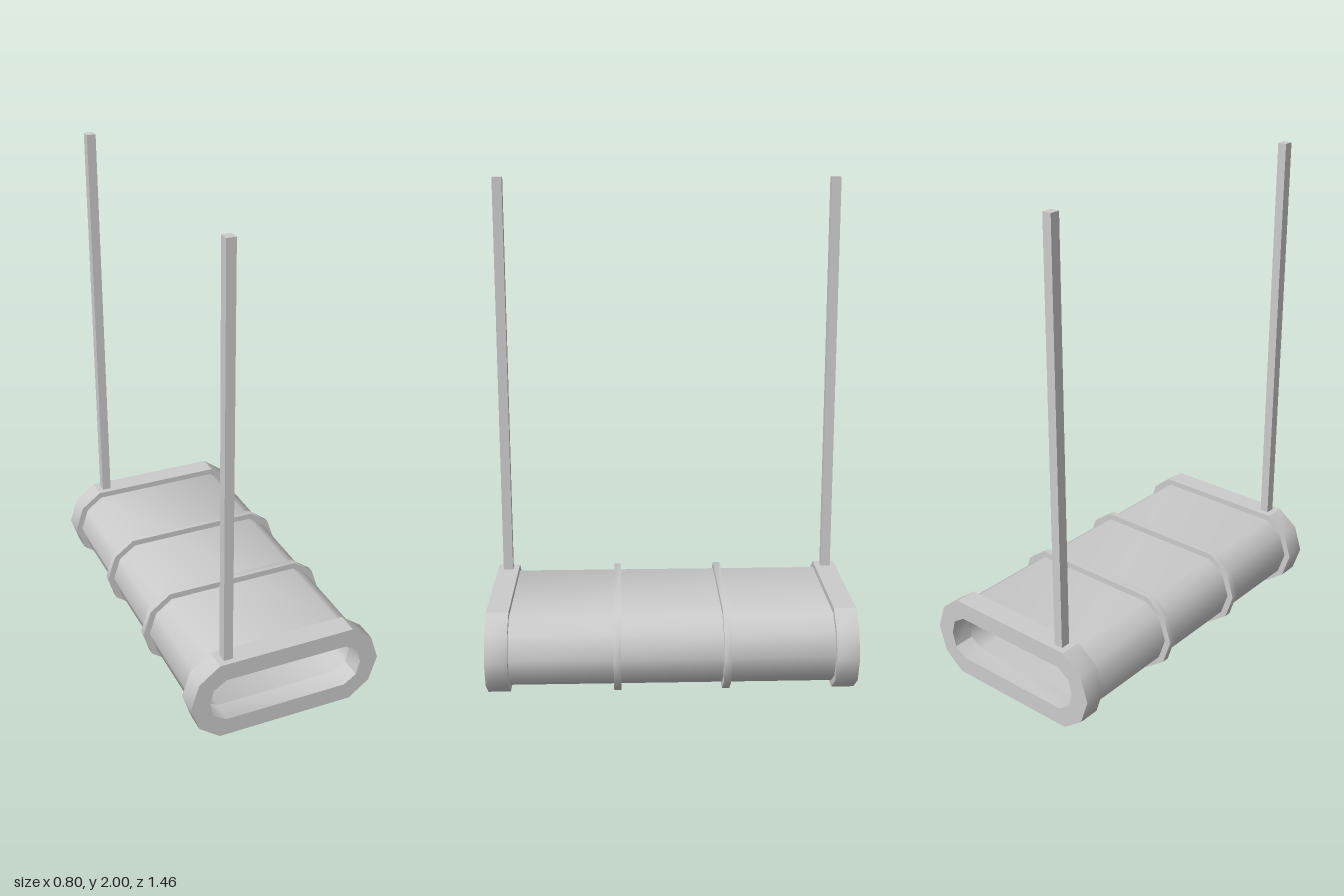
import * as THREE from 'three';
import { toCreasedNormals } from 'three/addons/utils/BufferGeometryUtils.js';

const MID_Y = 0.168;
const material = new THREE.MeshStandardMaterial({ color: 0xcccccc });

// Elongated ten-sided outlines: top corner, shoulder, side tip (one quarter each)
const OUTER = [[0.283, 0.168], [0.368, 0.104], [0.402, 0]];
const SHELL = [[0.275, 0.143], [0.345, 0.091], [0.375, 0]];
const INNER = [[0.257, 0.094], [0.309, 0.059], [0.324, 0]];

// Mirror a quarter outline into a closed counter-clockwise loop
function loop([a, b, t]) {
  const right = [[a[0], -a[1]], [b[0], -b[1]], t, b, a];
  const left = right.map(([x, y]) => [-x, y]).reverse();
  return [...right, ...left].map(([x, y]) => new THREE.Vector2(x, y));
}

// Hollow band of the given depth, centred on z
function band(name, outer, inner, depth, z, creaseDegrees) {
  const shape = new THREE.Shape(loop(outer));
  shape.holes.push(new THREE.Path(loop(inner)));
  const extruded = new THREE.ExtrudeGeometry(shape, { depth, bevelEnabled: false });
  const geometry = toCreasedNormals(extruded, THREE.MathUtils.degToRad(creaseDegrees));
  const mesh = new THREE.Mesh(geometry, material);
  mesh.name = name;
  mesh.position.set(0, MID_Y, z - depth / 2);
  return mesh;
}

export function createModel() {
  const group = new THREE.Group();
  group.name = 'hangingDuct';

  // Smooth hollow body between the end collars
  group.add(band('ductShell', SHELL, INNER, 1.288, 0, 45));

  for (const [side, s] of [['front', 1], ['back', -1]]) {
    // Thick end collar and thin reinforcing rib
    group.add(band(side + 'Collar', OUTER, INNER, 0.089, s * 0.6875, 36.6));
    group.add(band(side + 'Rib', OUTER, SHELL, 0.029, s * 0.216, 45));

    // Square hanger rod standing on the collar
    const rod = new THREE.Mesh(new THREE.BoxGeometry(0.037, 1.664, 0.04), material);
    rod.name = side + 'HangerRod';
    rod.position.set(-0.239, 1.168, s * 0.688);
    group.add(rod);
  }
  return group;
}
